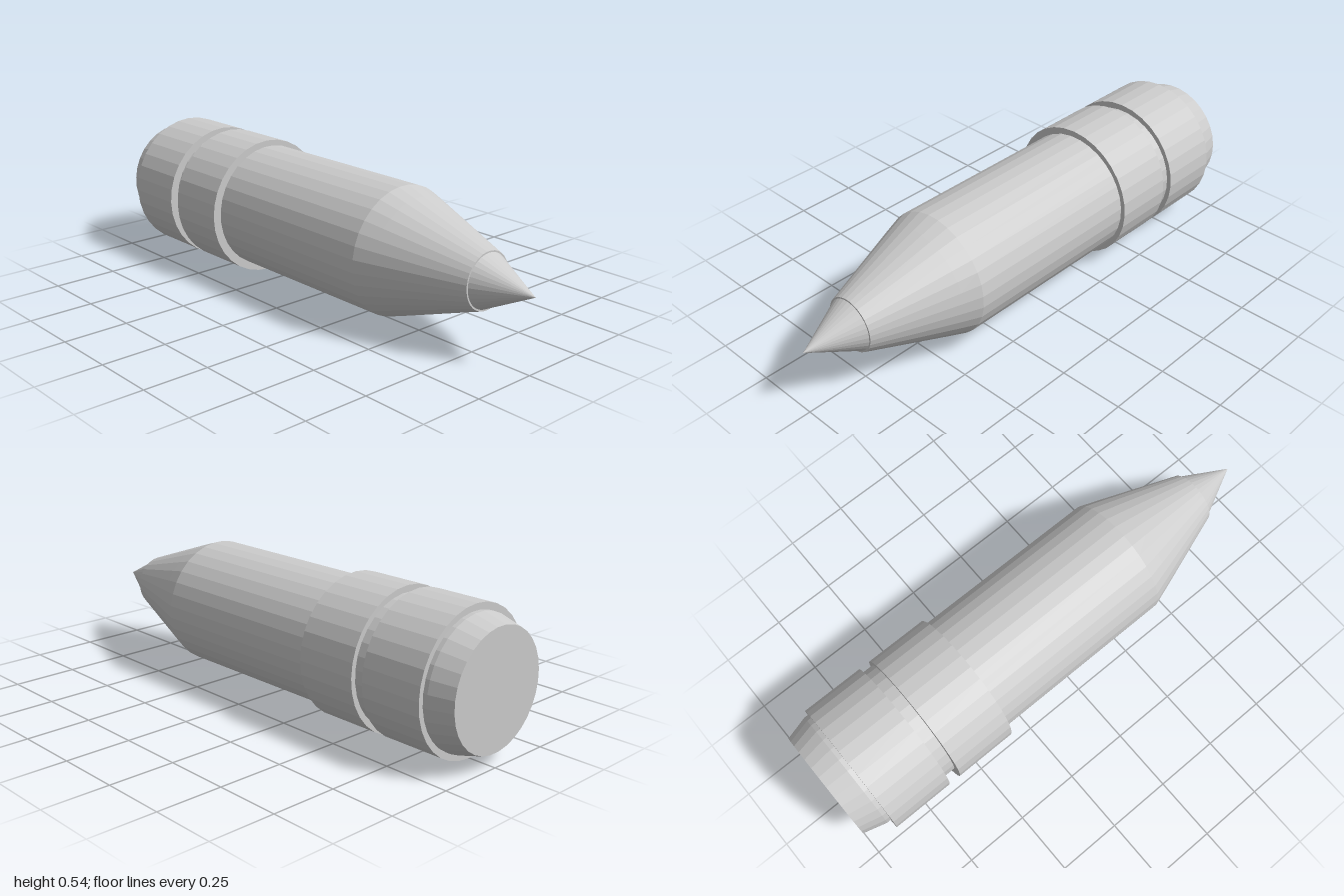
import * as THREE from 'three';

const SIDES = 32;

// Turned part along z from [radius, z] pairs, listed back to front
function turned(name, profile, x, y, phase = 0) {
  const points = profile.map(([r, z]) => new THREE.Vector2(r, z));
  const geometry = new THREE.LatheGeometry(points, SIDES, phase);
  geometry.rotateX(Math.PI / 2);
  const material = new THREE.MeshStandardMaterial({ color: 0xcccccc, flatShading: true });
  const mesh = new THREE.Mesh(geometry, material);
  mesh.name = name;
  mesh.position.set(x, y, 0);
  return mesh;
}

export function createModel() {
  const group = new THREE.Group();
  group.name = 'pointedCylinder';
  const x = 0.0075, y = 0.272, half = Math.PI / SIDES;

  // Long barrel with a chamfered, closed rear end
  group.add(turned('barrel', [
    [0, -1], [0.219, -1], [0.244, -0.91], [0.244, 0.4], [0, 0.4],
  ], x, y, half));

  // Tapered nose, blunt at its front
  group.add(turned('nose', [
    [0, 0.4], [0.244, 0.4], [0.2185, 0.476], [0.1215, 0.755], [0.106, 0.8], [0, 0.8],
  ], x, y, half));

  // Sharp tip, slightly narrower than the nose
  group.add(turned('tip', [[0, 0.79], [0.1, 0.79], [0.1, 0.8], [0, 1]], x, y));

  // Two raised bands near the rear
  [['frontBand', -0.6, -0.355], ['rearBand', -0.893, -0.648]].forEach(([name, back, front]) => {
    group.add(turned(name, [
      [0.2, back], [0.27, back], [0.27, front], [0.2, front],
    ], 0, 0.27));
  });

  return group;
}
